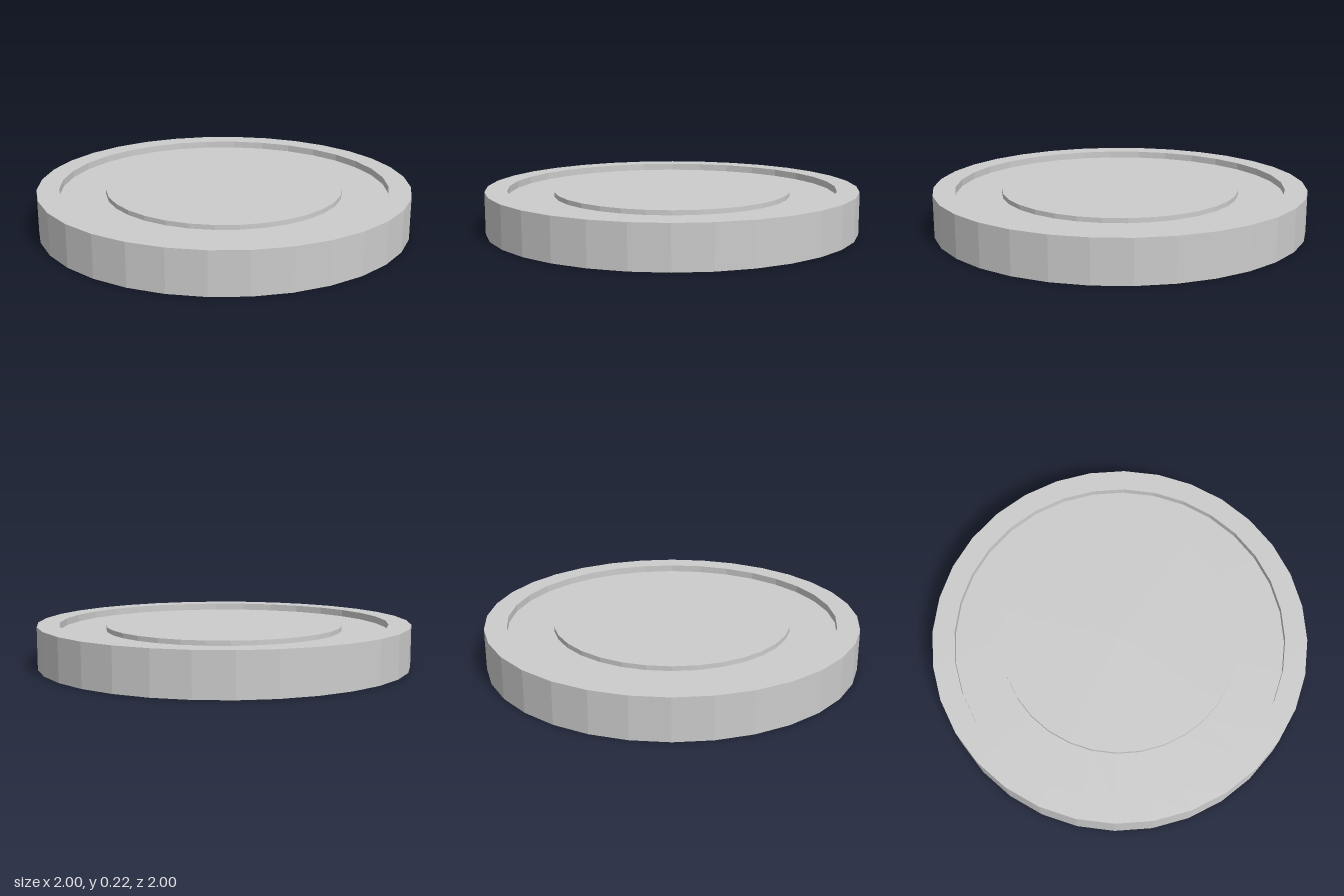
import * as THREE from 'three';

const SIDES = 32;
const HEIGHT = 0.225;
const RIM_OUTER = 1, RIM_INNER = 0.882, HUB_RADIUS = 0.635;
const HUB_INSET = 0.0125;   // hub faces sit slightly below the rim
const GROOVE_DEPTH = 0.0375;

export function createModel() {
  const group = new THREE.Group();
  group.name = 'disc';
  const material = new THREE.MeshStandardMaterial({ color: 0xcccccc, flatShading: true });

  const addLathe = (name, profile) => {
    const points = profile.map(([r, y]) => new THREE.Vector2(r, y));
    const mesh = new THREE.Mesh(new THREE.LatheGeometry(points, SIDES), material);
    mesh.name = name;
    group.add(mesh);
  };

  const grooveLow = GROOVE_DEPTH, grooveHigh = HEIGHT - GROOVE_DEPTH;
  const hubLow = HUB_INSET, hubHigh = HEIGHT - HUB_INSET;

  // Raised outer rim, with its inner walls down to each groove
  addLathe('rim', [
    [RIM_INNER, grooveLow], [RIM_INNER, 0], [RIM_OUTER, 0],
    [RIM_OUTER, HEIGHT], [RIM_INNER, HEIGHT], [RIM_INNER, grooveHigh],
  ]);

  // Groove floors on the underside and the top
  addLathe('lowerGroove', [[HUB_RADIUS, grooveLow], [RIM_INNER, grooveLow]]);
  addLathe('upperGroove', [[RIM_INNER, grooveHigh], [HUB_RADIUS, grooveHigh]]);

  // Raised centre on both faces
  addLathe('lowerHub', [[0, hubLow], [HUB_RADIUS, hubLow], [HUB_RADIUS, grooveLow]]);
  addLathe('upperHub', [[HUB_RADIUS, grooveHigh], [HUB_RADIUS, hubHigh], [0, hubHigh]]);

  return group;
}
